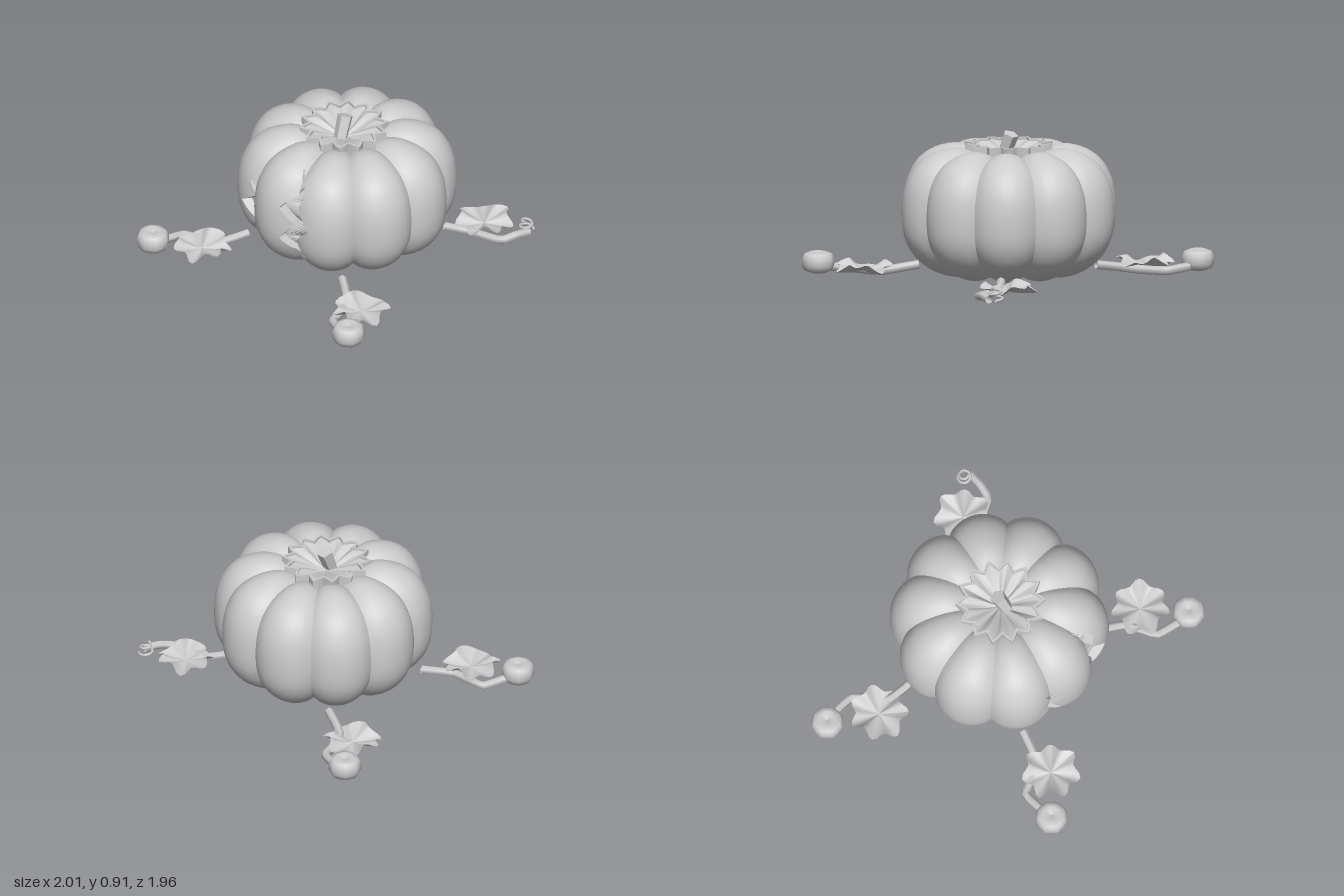
import * as THREE from 'three';

const CX = 0.035, CZ = -0.12, DEG = Math.PI / 180;
const material = (opts = {}) => new THREE.MeshStandardMaterial({ color: 0xcccccc, ...opts });
const V = (x, y, z) => new THREE.Vector3(x, y, z);

function addMesh(parent, name, geometry, opts) {
  const mesh = new THREE.Mesh(geometry, material(opts));
  mesh.name = name;
  parent.add(mesh);
  return mesh;
}

// Surface from a rule: columns i run counter-clockwise, rows j run upward
function grid(cols, rows, point) {
  const pos = [], index = [];
  for (let j = 0; j < rows; j++)
    for (let i = 0; i < cols; i++) pos.push(...point(i, j));
  for (let j = 0; j < rows - 1; j++)
    for (let i = 0; i < cols - 1; i++) {
      const a = j * cols + i, b = a + 1, c = a + cols, d = c + 1;
      index.push(a, b, d, a, d, c);
    }
  const g = new THREE.BufferGeometry();
  g.setAttribute('position', new THREE.Float32BufferAttribute(pos, 3));
  g.setIndex(index);
  g.computeVertexNormals();
  return g;
}

// Piecewise-linear lookup of x for a height y in a list of [y, x]
function lookup(table, y) {
  for (let k = 0; k < table.length - 1; k++) {
    const [y0, x0] = table[k], [y1, x1] = table[k + 1];
    if (y <= y0 && y >= y1) return x0 + (x1 - x0) * (y0 - y) / (y0 - y1);
  }
  return table[0][1];
}

// Ten-lobed body
const profile = new THREE.CatmullRomCurve3([
  [0.01, 0.06], [0.2, 0.03], [0.34, 0.022], [0.47, 0.06], [0.58, 0.14], [0.64, 0.23], [0.667, 0.33],
  [0.668, 0.5], [0.64, 0.62], [0.58, 0.72], [0.49, 0.785], [0.36, 0.82], [0.26, 0.805], [0.15, 0.75],
].map(([r, y]) => V(r, y, 0))).getSpacedPoints(110);
const lobe = a => 0.9 + 0.1 * Math.pow(Math.abs(Math.sin(5 * a)), 0.75);

function bodyPoint(a, p, depth = 0) {
  const k = lobe(a), r = p.x * k - depth;
  return [CX + r * Math.sin(a), 0.42 + (p.y - 0.42) * k, CZ + r * Math.cos(a)];
}

// Zigzag cuts, each with a left and a right edge
const cuts = [
  {
    valley: 0,
    left: [[0.755, 0.01], [0.66, 0.05], [0.54, -0.06], [0.44, 0.035], [0.335, -0.06], [0.225, 0.045], [0.11, 0.015]],
    right: [[0.755, 0.01], [0.65, 0.1], [0.57, 0.055], [0.43, 0.15], [0.325, 0.04], [0.235, 0.11], [0.11, 0.015]],
  },
  {
    valley: -36 * DEG,
    left: [[0.555, -0.36], [0.465, -0.33], [0.38, -0.415], [0.29, -0.325], [0.19, -0.36]],
    right: [[0.555, -0.36], [0.465, -0.28], [0.38, -0.325], [0.295, -0.27], [0.19, -0.36]],
  },
];

function cutAngle(cut, side, p) {
  const y = 0.42 + (p.y - 0.42) * 0.92, t = cut[side];
  if (y > t[0][0] || y < t[t.length - 1][0]) return cut.valley;
  return Math.asin((lookup(t, y) - CX) / (p.x * 0.93));
}

// Columns for a run of lobes; valley columns are doubled so creases stay sharp
function lobeAngles(first, last) {
  const out = [];
  for (let l = first; l < last; l++)
    for (let i = 0; i <= 10; i++) out.push((l + i / 10) * 36 * DEG);
  return out;
}

function addBody(root) {
  const body = new THREE.Group();
  body.name = 'pumpkinBody';
  root.add(body);
  const patch = (name, angles, low, high) =>
    addMesh(body, name, grid(angles.length, profile.length, (i, j) => {
      const p = profile[j];
      return bodyPoint(Math.min(Math.max(angles[i], low(p)), high(p)), p);
    }));
  patch('lobeBetweenCuts', lobeAngles(-2, 1),
    p => cutAngle(cuts[1], 'right', p), p => cutAngle(cuts[0], 'left', p));
  patch('remainingLobes', lobeAngles(-1, 10),
    p => cutAngle(cuts[0], 'right', p), p => cutAngle(cuts[1], 'left', p) + 2 * Math.PI);
  // Walls and floor of each cut
  for (const cut of cuts) {
    const rows = profile.filter(p => p.x > 0.5 && cutAngle(cut, 'right', p) - cutAngle(cut, 'left', p) > 1e-4);
    addMesh(body, 'zigzagCut', grid(4, rows.length, (i, j) => {
      const a = cutAngle(cut, i < 2 ? 'left' : 'right', rows[j]);
      return bodyPoint(a, rows[j], i === 1 || i === 2 ? 0.06 : 0);
    }), { flatShading: true, side: THREE.DoubleSide });
  }
}

// Sunken lid with a toothed rim and radial furrows
function addLid(root) {
  const teeth = 14, n = teeth * 10;
  const edge = a => {
    const f = (a / (2 * Math.PI) * teeth) % 1;
    return 0.215 + 0.06 * Math.abs(2 * f - 1);
  };
  const lidPoint = (i, s, y) => {
    const a = i / n * 2 * Math.PI, r = edge(a) * s;
    return [0.02 + r * Math.sin(a), y, -0.107 + r * Math.cos(a)];
  };
  const rim = [[1, 0.77], [1, 0.836], [0.92, 0.836], [0.92, 0.815]];
  addMesh(root, 'lidRim', grid(n + 1, rim.length, (i, j) => lidPoint(i, ...rim[j])),
    { flatShading: true, side: THREE.DoubleSide });
  const top = [[0.93, 0.82], [0.8, 0.812], [0.6, 0.795], [0.4, 0.775], [0.2, 0.758], [0, 0.75]];
  addMesh(root, 'lidTop', grid(n + 1, top.length, (i, j) => {
    const [s, y] = top[j];
    const furrow = 0.06 * s * (1 - s) * (Math.abs(Math.sin(5 * i / n * 2 * Math.PI)) - 0.6);
    return lidPoint(i, s, y + furrow);
  }), { side: THREE.DoubleSide });
  const stem = addMesh(root, 'stem', new THREE.CylinderGeometry(0.05, 0.042, 0.17, 5), { flatShading: true });
  stem.position.set(0.02, 0.812, -0.092);
  stem.rotation.x = -0.4;
}

// Scalloped, wavy leaf cupped upward
function addLeaf(parent, x, z, size, turn) {
  const leaf = addMesh(parent, 'leaf', grid(43, 6, (i, j) => {
    const a = i / 42 * 2 * Math.PI, s = 1 - j / 5;
    const r = size * s * (0.9 + 0.12 * s * Math.cos(7 * a));
    const y = 0.045 + 0.03 * s * s + 0.022 * s * Math.cos(3 * a) - 0.012 * s * Math.cos(7 * a);
    return [r * Math.sin(a), y, r * Math.cos(a)];
  }), { side: THREE.DoubleSide });
  leaf.position.set(x, 0, z);
  leaf.rotation.y = turn;
}

// Small squat fruit with eight sides
function addFruit(parent, x, z) {
  const pts = [[0, 0.03], [0.05, 0.015], [0.085, 0.028], [0.1, 0.06], [0.1, 0.1], [0.085, 0.132], [0.05, 0.145], [0, 0.125]];
  const g = new THREE.LatheGeometry(pts.map(p => new THREE.Vector2(...p)), 16);
  const pos = g.attributes.position;
  for (let i = 0; i < pos.count; i++) {
    const k = 0.975 + 0.025 * Math.cos(8 * Math.atan2(pos.getX(i), pos.getZ(i)));
    pos.setXYZ(i, pos.getX(i) * k, pos.getY(i), pos.getZ(i) * k);
  }
  addMesh(parent, 'smallFruit', g).position.set(x, 0, z);
}

function addTube(parent, name, points, radius, segments = 16) {
  const curve = new THREE.CatmullRomCurve3(points, false, 'catmullrom', 0.25);
  addMesh(parent, name, new THREE.TubeGeometry(curve, segments, radius, 6), { side: THREE.DoubleSide });
}

const vines = [
  { name: 'backRightVine', path: [[-0.36, -0.49], [-0.48, -0.55], [-0.57, -0.61], [-0.6, -0.7], [-0.64, -0.82], [-0.78, -0.88]],
    fruit: [-0.865, -0.885], leaf: [-0.68, -0.62, 0.18, 0.4] },
  { name: 'backLeftVine', path: [[0.53, -0.45], [0.59, -0.49], [0.66, -0.53], [0.78, -0.54], [0.88, -0.55], [0.94, -0.63], [0.98, -0.71]],
    leaf: [0.7, -0.64, 0.18, 2.8] },
  { name: 'frontRightVine', path: [[-0.45, 0.24], [-0.52, 0.32], [-0.59, 0.39], [-0.7, 0.4], [-0.81, 0.41], [-0.87, 0.54]],
    fruit: [-0.905, 0.62], leaf: [-0.625, 0.5, 0.18, 1.1] },
  { name: 'frontLeftVine', path: [[0.3, 0.37], [0.38, 0.46], [0.44, 0.54], [0.455, 0.65], [0.465, 0.75], [0.58, 0.84]],
    fruit: [0.655, 0.877], leaf: [0.57, 0.59, 0.18, 2.0] },
];

export function createModel() {
  const root = new THREE.Group();
  root.name = 'pumpkinWithVines';
  addBody(root);
  addLid(root);
  const heights = [0.07, 0.05, 0.032, 0.028, 0.03, 0.045, 0.035];
  for (const vine of vines) {
    const group = new THREE.Group();
    group.name = vine.name;
    root.add(group);
    addTube(group, 'runner', vine.path.map(([x, z], i) => V(x, heights[i], z)), 0.027);
    addLeaf(group, ...vine.leaf);
    if (vine.fruit) addFruit(group, ...vine.fruit);
    else {
      // Curled tendril at the free end
      const curl = [];
      for (let k = 0; k <= 14; k++) {
        const a = 0.6 + k * 0.75, r = 0.045 - k * 0.0012;
        curl.push(V(0.945 + r * Math.cos(a), 0.03 + k * 0.005, -0.735 - r * Math.sin(a)));
      }
      addTube(group, 'tendril', curl, 0.009, 40);
    }
  }
  return root;
}
